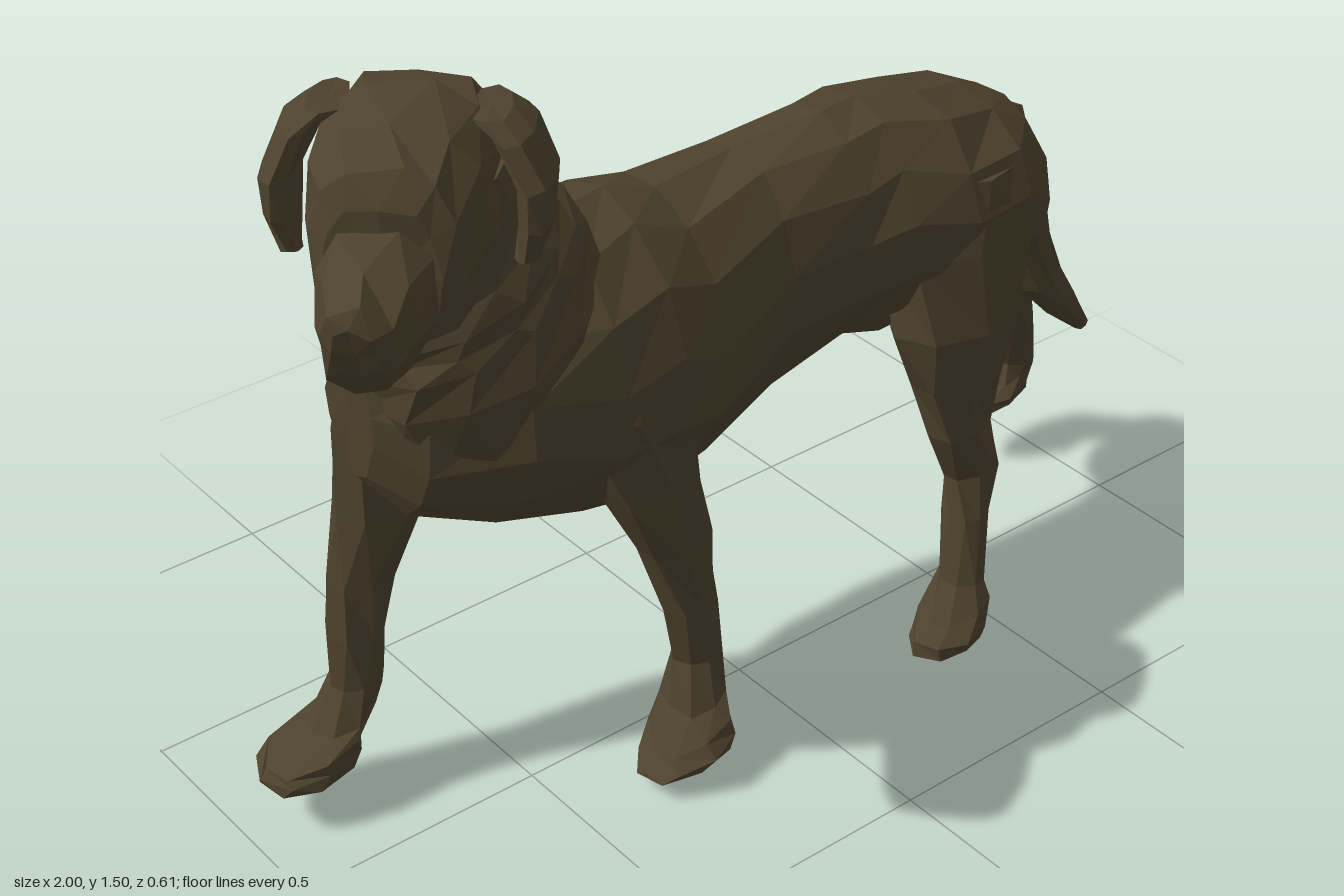
import * as THREE from 'three';

const coat = new THREE.MeshStandardMaterial({ color: 0x4d422d, flatShading: true });
coat.name = 'brown coat';

// small seeded noise for the hand-cut facets
let seed = 7;
const noise = () => {
  seed = (seed * 16807) % 2147483647;
  return seed / 2147483647 - 0.5;
};

// Skin closed rings. Station: [x, y, z, a, b, tilt]; a lies in the xy plane at the
// angle tilt (0 = flat ring, PI/2 = upright ring), b lies along z.
// A power below 1 makes the rings boxier.
function loft(name, stations, sides = 10, power = 1) {
  const pos = [], idx = [];
  const bend = (c) => Math.sign(c) * Math.abs(c) ** power;
  stations.forEach(([x, y, z, a, b, t], s) => {
    for (let i = 0; i < sides; i++) {
      const w = ((i + (s % 2) * 0.3) / sides) * Math.PI * 2;
      const ca = bend(Math.cos(w)) * a, sb = bend(Math.sin(w)) * b;
      const r = Math.min(0.012, a * 0.2, b * 0.2);
      pos.push(x + ca * Math.cos(t) + noise() * r, y + ca * Math.sin(t) + noise() * r, z + sb + noise() * r);
    }
  });
  const last = stations.length - 1;
  for (let s = 0; s < last; s++) {
    for (let i = 0; i < sides; i++) {
      const j = (i + 1) % sides, p = s * sides, q = p + sides;
      idx.push(p + i, p + j, q + i, p + j, q + j, q + i);
    }
  }
  // end caps
  const c0 = pos.length / 3;
  pos.push(...stations[0].slice(0, 3), ...stations[last].slice(0, 3));
  for (let i = 0; i < sides; i++) {
    const j = (i + 1) % sides, q = last * sides;
    idx.push(c0, j, i, c0 + 1, q + i, q + j);
  }
  // turn faces outward if the enclosed volume is negative
  const v = (k) => new THREE.Vector3(pos[k * 3], pos[k * 3 + 1], pos[k * 3 + 2]);
  let volume = 0;
  for (let k = 0; k < idx.length; k += 3) volume += v(idx[k]).dot(v(idx[k + 1]).cross(v(idx[k + 2])));
  if (volume < 0) idx.reverse();
  const indexed = new THREE.BufferGeometry();
  indexed.setAttribute('position', new THREE.Float32BufferAttribute(pos, 3));
  indexed.setIndex(idx);
  const geo = indexed.toNonIndexed();
  geo.computeVertexNormals();
  const mesh = new THREE.Mesh(geo, coat);
  mesh.name = name;
  return mesh;
}

// upright rings given as [x, top, bottom, z, halfWidth]
const upright = (rows) =>
  rows.map(([x, top, bottom, z, w]) => [x, (top + bottom) / 2, z, (top - bottom) / 2, w, Math.PI / 2]);

export function createModel() {
  const dog = new THREE.Group();
  dog.name = 'dog';

  // ribcage, belly and rump
  dog.add(loft('torso', upright([
    [-0.765, 0.98, 0.74, -0.1, 0.07],
    [-0.71, 1.06, 0.66, -0.07, 0.13],
    [-0.57, 1.13, 0.61, -0.04, 0.2],
    [-0.4, 1.165, 0.56, -0.03, 0.23],
    [-0.28, 1.16, 0.55, -0.03, 0.235],
    [-0.17, 1.14, 0.57, -0.035, 0.215],
    [0.02, 1.135, 0.63, -0.04, 0.175],
    [0.2, 1.155, 0.69, -0.035, 0.175],
    [0.29, 1.15, 0.67, -0.03, 0.19],
    [0.42, 1.135, 0.7, -0.03, 0.22],
    [0.56, 1.095, 0.68, -0.03, 0.215],
    [0.65, 1.05, 0.68, -0.03, 0.165],
    [0.71, 0.94, 0.72, -0.03, 0.1],
  ]), 14));

  // neck with loose skin folds
  dog.add(loft('neck', [
    [-0.52, 0.84, -0.04, 0.21, 0.18, 0.4],
    [-0.54, 1.0, -0.035, 0.24, 0.215, 0.45],
    [-0.565, 1.08, -0.03, 0.235, 0.21, 0.5],
    [-0.575, 1.115, -0.025, 0.215, 0.2, 0.5],
    [-0.595, 1.15, -0.02, 0.205, 0.2, 0.5],
    [-0.61, 1.19, -0.01, 0.185, 0.175, 0.5],
    [-0.635, 1.25, 0.01, 0.165, 0.16, 0.45],
    [-0.665, 1.36, 0.025, 0.15, 0.145, 0.4],
  ], 12));

  // head, turned to the side
  const head = new THREE.Group();
  head.name = 'head';
  head.position.set(-0.68, 0, -0.01);
  head.rotation.y = Math.PI / 4;
  head.add(loft('skull', upright([
    [-0.22, 1.39, 1.14, 0.005, 0.095],
    [-0.195, 1.45, 1.13, 0.01, 0.125],
    [-0.12, 1.485, 1.13, 0.015, 0.15],
    [0, 1.495, 1.15, 0.015, 0.16],
    [0.09, 1.475, 1.2, 0.015, 0.145],
    [0.135, 1.43, 1.28, 0.015, 0.105],
  ]), 12, 0.75));
  head.add(loft('muzzle', [
    [-0.4, 1.24, 0, 0.055, 0.04, 1.95],
    [-0.375, 1.23, 0, 0.1, 0.062, 1.9],
    [-0.31, 1.232, 0, 0.105, 0.085, 1.7],
    [-0.22, 1.24, 0, 0.115, 0.1, 1.57],
    [-0.15, 1.26, 0, 0.125, 0.105, 1.57],
  ], 8, 0.8));
  for (const side of [-1, 1]) {
    // folded ear flaps, flaring away from the cheeks
    head.add(loft(side > 0 ? 'leftEar' : 'rightEar', [
      [0.01, 1.46, side * 0.13 + 0.015, 0.07, 0.035, 0],
      [0, 1.43, side * 0.17 + 0.015, 0.085, 0.035, 0],
      [-0.03, 1.36, side * 0.205 + 0.015, 0.08, 0.035, 0],
      [-0.05, 1.29, side * 0.205 + 0.015, 0.06, 0.028, 0],
      [-0.07, 1.23, side * 0.19 + 0.015, 0.025, 0.018, 0],
    ], 8));
  }
  dog.add(head);

  // front legs
  dog.add(loft('leftFrontLeg', [
    [-0.36, 0.98, 0.08, 0.13, 0.09, 0],
    [-0.33, 0.82, 0.09, 0.16, 0.105, 0],
    [-0.3, 0.64, 0.115, 0.105, 0.08, 0],
    [-0.255, 0.5, 0.13, 0.075, 0.06, 0],
    [-0.228, 0.36, 0.135, 0.057, 0.052, 0],
    [-0.212, 0.23, 0.135, 0.048, 0.05, 0],
    [-0.225, 0.145, 0.142, 0.06, 0.066, 0.2],
    [-0.252, 0.105, 0.16, 0.085, 0.082, 0.4],
    [-0.267, 0.072, 0.17, 0.1, 0.088, 0.3],
    [-0.272, 0.052, 0.17, 0.098, 0.08, 0.25],
  ], 8));
  dog.add(loft('rightFrontLeg', [
    [-0.62, 0.98, -0.12, 0.1, 0.09, 0],
    [-0.65, 0.8, -0.15, 0.12, 0.1, 0],
    [-0.68, 0.62, -0.17, 0.095, 0.078, 0],
    [-0.725, 0.48, -0.18, 0.07, 0.06, 0],
    [-0.742, 0.36, -0.18, 0.057, 0.052, 0],
    [-0.75, 0.25, -0.18, 0.052, 0.05, 0.1],
    [-0.785, 0.185, -0.185, 0.068, 0.06, 0.4],
    [-0.845, 0.145, -0.19, 0.1, 0.082, 0.35],
    [-0.858, 0.115, -0.19, 0.105, 0.084, 0.12],
    [-0.86, 0.092, -0.19, 0.1, 0.078, 0.06],
  ], 8));

  // hind legs
  dog.add(loft('leftHindLeg', [
    [0.46, 1.0, 0.08, 0.13, 0.09, 0],
    [0.46, 0.86, 0.09, 0.18, 0.105, 0],
    [0.435, 0.7, 0.11, 0.155, 0.095, 0],
    [0.425, 0.58, 0.13, 0.1, 0.075, 0],
    [0.43, 0.47, 0.14, 0.075, 0.055, 0],
    [0.465, 0.36, 0.145, 0.06, 0.045, 0.1],
    [0.445, 0.27, 0.16, 0.048, 0.044, 0],
    [0.42, 0.14, 0.18, 0.048, 0.05, 0],
    [0.395, 0.085, 0.19, 0.075, 0.066, 0.3],
    [0.375, 0.045, 0.195, 0.085, 0.07, 0.15],
    [0.375, 0.006, 0.19, 0.08, 0.065, 0.08],
  ], 8));
  dog.add(loft('rightHindLeg', [
    [0.5, 1.0, -0.14, 0.12, 0.09, 0.1],
    [0.55, 0.86, -0.15, 0.17, 0.105, 0.3],
    [0.62, 0.71, -0.17, 0.15, 0.095, 0.6],
    [0.7, 0.58, -0.18, 0.115, 0.075, 0.8],
    [0.79, 0.51, -0.185, 0.085, 0.06, 0.9],
    [0.88, 0.445, -0.195, 0.065, 0.05, 0.75],
    [0.915, 0.35, -0.205, 0.048, 0.044, 0.2],
    [0.95, 0.24, -0.235, 0.046, 0.048, 0.2],
    [0.94, 0.2, -0.245, 0.065, 0.056, 0.3],
    [0.915, 0.172, -0.245, 0.09, 0.06, 0.3],
    [0.907, 0.142, -0.245, 0.084, 0.052, 0.32],
  ], 8));

  // hanging tail with a broad root
  dog.add(loft('tail', [
    [0.58, 1.03, -0.02, 0.05, 0.06, 0.5],
    [0.64, 0.98, -0.015, 0.065, 0.07, 0.4],
    [0.69, 0.87, -0.005, 0.062, 0.06, 0.15],
    [0.715, 0.74, 0, 0.056, 0.055, 0.3],
    [0.77, 0.61, 0, 0.047, 0.048, 0.5],
    [0.84, 0.52, 0.005, 0.036, 0.038, 0.6],
    [0.89, 0.455, 0.01, 0.016, 0.02, 0.7],
  ], 8));

  return dog;
}
